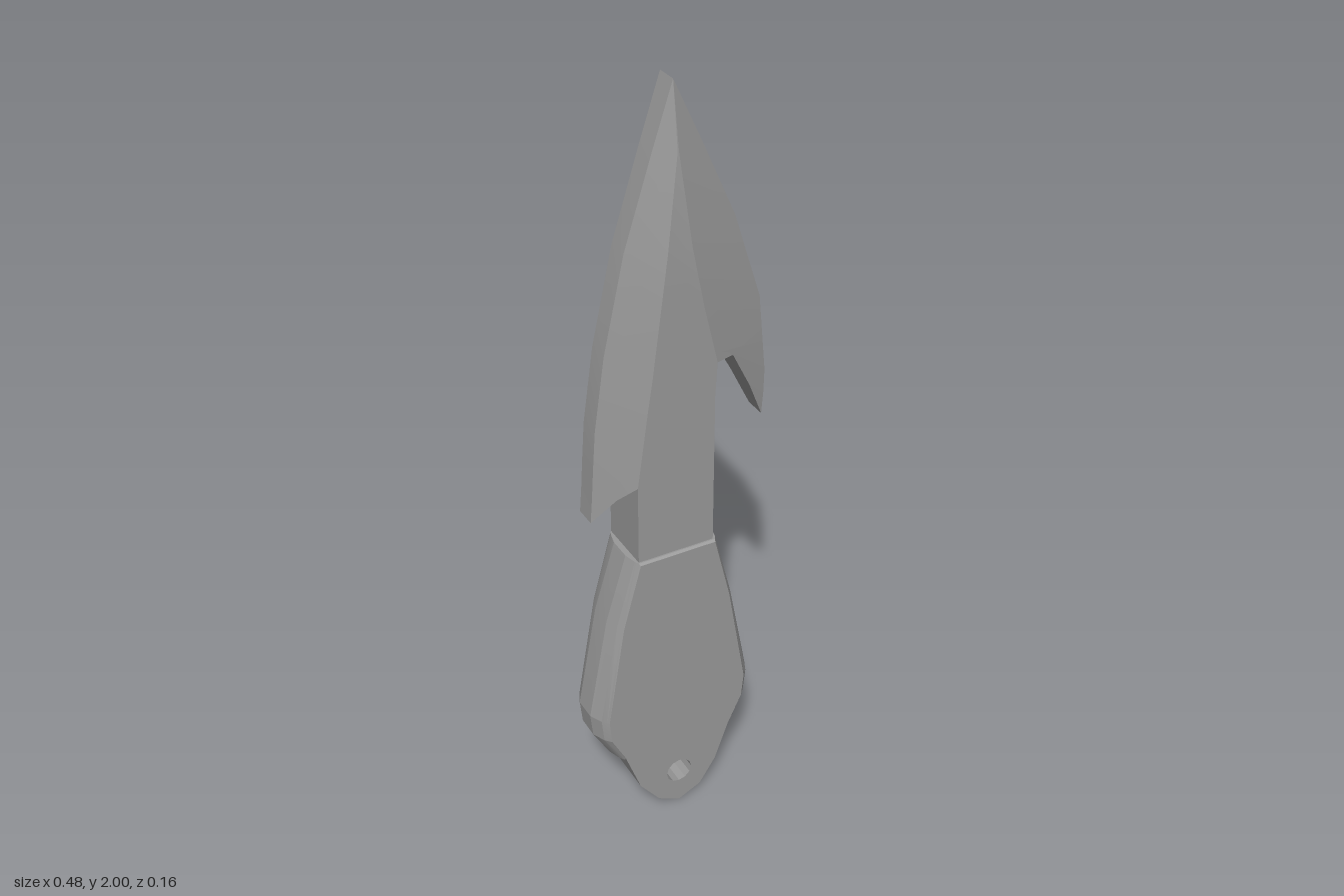
import * as THREE from 'three';
import { toCreasedNormals } from 'three/addons/utils/BufferGeometryUtils.js';

const material = new THREE.MeshStandardMaterial({ color: 0x999999 });

function makeMesh(geometry, name) {
  const mesh = new THREE.Mesh(toCreasedNormals(geometry, 0.2), material);
  mesh.name = name;
  return mesh;
}

// Collects polygons into one geometry
class Facets {
  constructor() { this.p = []; }
  poly(points, flip = false) {
    const q = flip ? [...points].reverse() : points;
    for (let i = 1; i < q.length - 1; i++) this.p.push(...q[0], ...q[i], ...q[i + 1]);
  }
  geometry() {
    const g = new THREE.BufferGeometry();
    g.setAttribute('position', new THREE.Float32BufferAttribute(this.p, 3));
    return g;
  }
}

const back = ([x, y, z]) => [x, y, -z];
const T = 0.072; // half thickness of the shank
const E = 0.028; // half thickness of the cutting edge

// Flat middle of the blade: y, left x, right x, half thickness
const core = [
  [2, -0.005, -0.005, E], [1.85, -0.007, -0.004, 0.052], [1.63, -0.04, 0.02, 0.071],
  [1.48, -0.06, 0.05, T], [1.325, -0.08, 0.087, T], [1.24, -0.093, 0.082, T],
  [1.045, -0.12, 0.082, T], [0.8, -0.12, 0.082, T],
];

// Bevelled wings: outer edge points, and the barb underside continuing the inner line
const wings = [
  {
    col: 2, attach: 4, flip: false,
    outer: [[-0.005, 2], [0.065, 1.85], [0.15, 1.66], [0.22, 1.44], [0.228, 1.36], [0.232, 1.32],
      [0.236, 1.28], [0.24, 1.24], [0.239, 1.18], [0.235, 1.12]],
    under: [[0.1, 1.347, 0.068], [0.12, 1.34, 0.063], [0.137, 1.32, 0.058],
      [0.19, 1.22, 0.045], [0.235, 1.12, E]],
  },
  {
    col: 1, attach: 6, flip: true,
    outer: [[-0.005, 2], [-0.055, 1.85], [-0.125, 1.63], [-0.158, 1.48], [-0.178, 1.39],
      [-0.205, 1.2], [-0.212, 1.1], [-0.217, 1.02], [-0.222, 0.955]],
    under: [[-0.165, 1.015, 0.052], [-0.222, 0.955, E]],
  },
];

function makeBlade() {
  const f = new Facets();
  // A face strip on the front, mirrored to the back
  const both = (a, b, c, d, flip) => {
    f.poly([a, b, c, d], flip);
    f.poly([a, b, c, d].map(back), !flip);
  };
  // A wall from the front to the back along the line a-b
  const wall = (a, b, flip) => f.poly([a, b, back(b), back(a)], flip);

  for (let i = 0; i < core.length - 1; i++) {
    const [y0, l0, r0, z0] = core[i], [y1, l1, r1, z1] = core[i + 1];
    both([l0, y0, z0], [l1, y1, z1], [r1, y1, z1], [r0, y0, z0], false);
  }
  for (const { col, attach, flip, outer, under } of wings) {
    const line = core.map((r) => [r[col], r[0], r[3]]);
    const inner = [...line.slice(0, attach + 1), ...under];
    const edge = outer.map(([x, y]) => [x, y, E]);
    for (let i = 0; i < inner.length - 1; i++) {
      both(inner[i], inner[i + 1], edge[i + 1], edge[i], flip);
      wall(edge[i], edge[i + 1], flip);
      if (i >= attach) wall(inner[i], inner[i + 1], !flip);
    }
    for (let i = attach; i < line.length - 1; i++) wall(line[i], line[i + 1], flip);
  }
  const mesh = makeMesh(f.geometry(), 'blade');
  mesh.position.z = -0.002;
  return mesh;
}

// Grip: one outline stacked through z, narrowing towards both faces
function makeHandle() {
  const f = new Facets();
  const bottom = 0.22, top = 0.832, cx = -0.018;
  const outline = [[-0.19, bottom], [0.16, bottom], [0.2, 0.3], [0.207, 0.365], [0.15, 0.65],
    [0.1, top], [-0.135, top], [-0.19, 0.65], [-0.242, 0.365], [-0.235, 0.3]];
  // Each layer: z, width factor, inset of the top and bottom ends
  const half = [[0.03, 1, 0], [0.063, 0.93, 0], [0.074, 0.885, 0], [0.079, 0.865, 0.005]];
  const layers = [...half.map(([z, s, d]) => [-z, s, d]).reverse(), ...half];
  const rings = layers.map(([z, s, d]) => outline.map(([x, y]) =>
    [cx + (x - cx) * s, THREE.MathUtils.clamp(y, bottom + d, top - d), z]));
  for (let k = 0; k < rings.length - 1; k++) {
    outline.forEach((_, i) => {
      const j = (i + 1) % outline.length;
      f.poly([rings[k][i], rings[k][j], rings[k + 1][j], rings[k + 1][i]]);
    });
  }
  f.poly(rings[0], true);
  f.poly(rings[rings.length - 1]);
  return makeMesh(f.geometry(), 'handle');
}

// Rounded tang with a lanyard hole below the grip
function makeTang() {
  const shape = new THREE.Shape([[-0.165, 0.25], [-0.165, 0.22], [-0.122, 0.1], [-0.068, 0.03],
    [-0.008, 0], [0.055, 0.03], [0.1, 0.1], [0.142, 0.22], [0.142, 0.25]]
    .map(([x, y]) => new THREE.Vector2(x, y)));
  const hole = new THREE.Path();
  hole.absarc(-0.008, 0.105, 0.036, 0, Math.PI * 2, true);
  shape.holes.push(hole);
  const g = new THREE.ExtrudeGeometry(shape, { depth: 2 * T, bevelEnabled: false, curveSegments: 6 });
  g.translate(0, 0, -T - 0.002);
  return makeMesh(g, 'tang');
}

export function createModel() {
  const group = new THREE.Group();
  group.name = 'barbedKnife';
  group.add(makeBlade(), makeHandle(), makeTang());
  return group;
}
